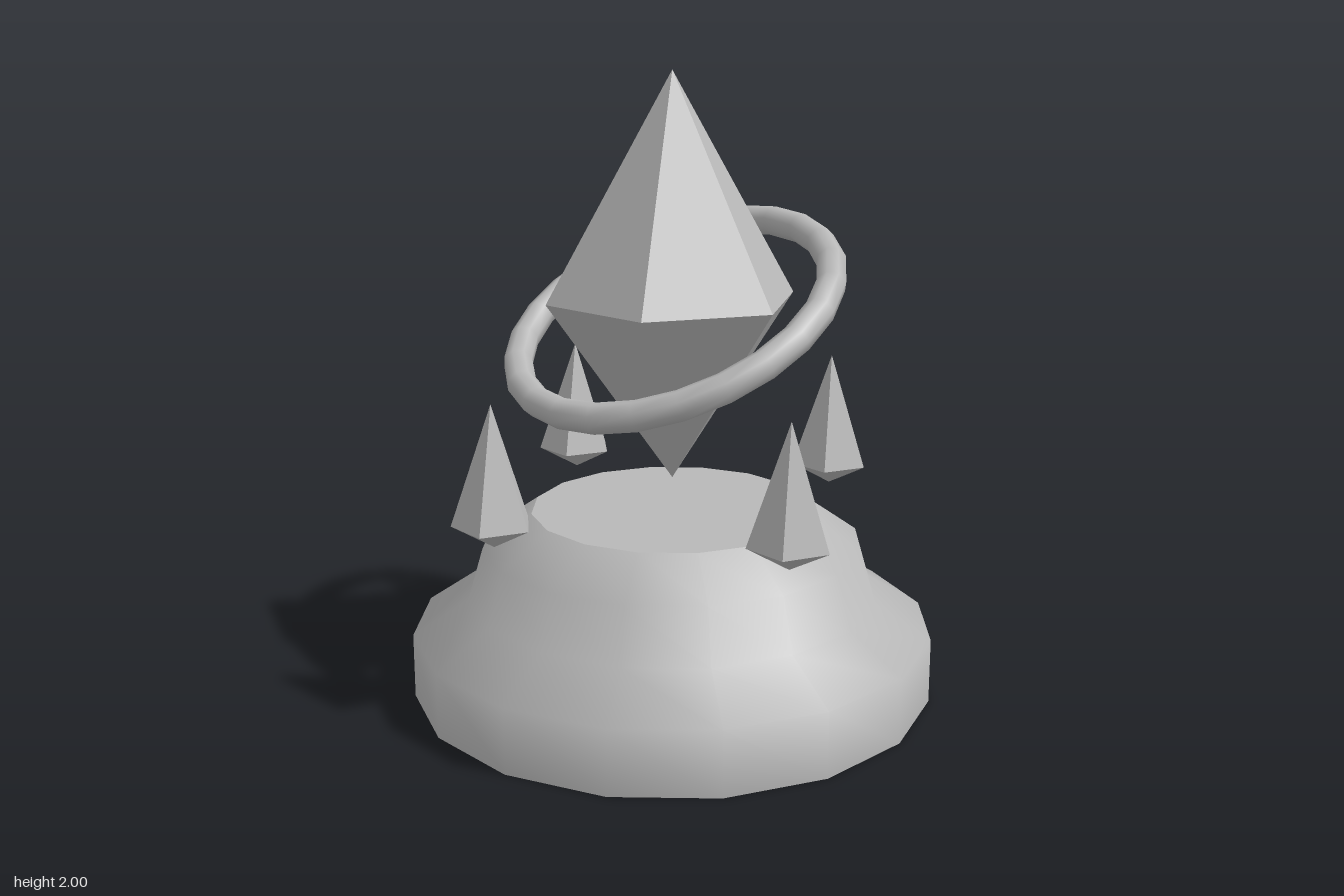
import * as THREE from 'three';

const stone = new THREE.MeshStandardMaterial({ color: 0xb8b8b8 });
stone.name = 'grey stone';

function add(parent, name, geometry, x = 0, y = 0, z = 0) {
  const mesh = new THREE.Mesh(geometry, stone);
  mesh.name = name;
  mesh.position.set(x, y, z);
  parent.add(mesh);
  return mesh;
}

// Faceted double pyramid: a tall upper cone and a shorter lower one sharing a girdle
function addCrystal(parent, name, sides, radius, bottom, girdle, top, x = 0, z = 0) {
  const group = new THREE.Group();
  group.name = name;
  group.position.set(x, 0, z);
  const facet = (rTop, rBottom, y0, y1) => {
    const g = new THREE.CylinderGeometry(rTop, rBottom, y1 - y0, sides, 1, true).toNonIndexed();
    g.computeVertexNormals();
    return g;
  };
  add(group, name + 'Upper', facet(0, radius, girdle, top), 0, (girdle + top) / 2);
  add(group, name + 'Lower', facet(radius, 0, bottom, girdle), 0, (bottom + girdle) / 2);
  parent.add(group);
}

export function createModel() {
  const model = new THREE.Group();
  model.name = 'crystalShrine';

  // Stepped round pedestal with smooth sides and flat ends
  const sides = 16;
  const profile = [[0.85, 0], [0.85, 0.21], [0.67, 0.32], [0.62, 0.49], [0.46, 0.6]]
    .map(([r, y]) => new THREE.Vector2(r, y));
  add(model, 'pedestal', new THREE.LatheGeometry(profile, sides));
  add(model, 'pedestalTop', new THREE.CircleGeometry(0.46, sides), 0, 0.6).rotation.x = -Math.PI / 2;
  add(model, 'pedestalBottom', new THREE.CircleGeometry(0.85, sides)).rotation.x = Math.PI / 2;

  // Large floating crystal
  addCrystal(model, 'mainCrystal', 6, 0.41, 0.7, 1.29, 2);

  // Tilted ring around the crystal
  const ring = add(model, 'ring', new THREE.TorusGeometry(0.526, 0.048, 8, 24), 0, 1.245, 0);
  ring.rotation.set(2.0, 0.25, 0);

  // Four small crystals at the corners
  for (const x of [-0.455, 0.455]) {
    for (const z of [-0.455, 0.455]) {
      addCrystal(model, 'smallCrystal', 5, 0.13, 0.58, 0.65, 1.03, x, z);
    }
  }
  return model;
}
